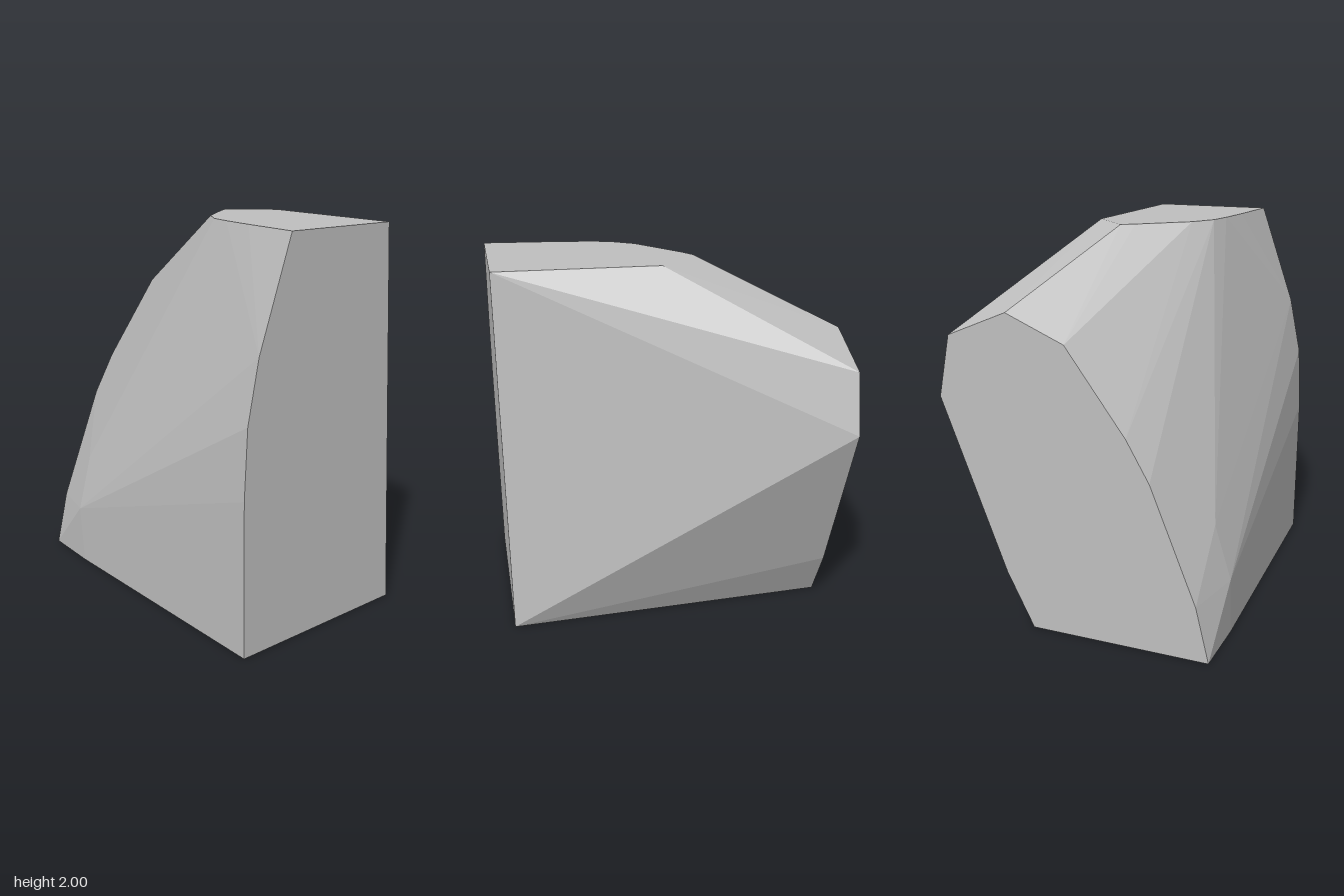
import * as THREE from 'three';
import { ConvexGeometry } from 'three/addons/geometries/ConvexGeometry.js';

export function createModel() {
  const model = new THREE.Group();
  model.name = 'stoneModel';
  const grey = new THREE.MeshStandardMaterial({ color: 0xc0c0c0 });
  grey.name = 'stone grey';

  // flat front face, outline as x, y
  const front = [[-0.725, 0], [0.28, 0], [0.185, 2], [-0.45, 2], [-0.64, 1.46], [-0.705, 1.15], [-0.725, 0.8]];
  // flat back face, outline as x, y
  const back = [[-0.71, 0], [-0.64, 0.29], [-0.4, 0.89], [-0.28, 1.1], [0.03, 1.525], [0.335, 1.655],
    [0.655, 1.52], [0.72, 1.2], [0.38, 0.29], [0.236, 0]];
  // rear rim of the flat top, as x, z
  const top = [[-0.41, 0.54], [-0.38, 0.34], [-0.35, 0.21], [-0.27, 0.08], [-0.03, -0.125], [0.035, -0.17], [0.23, 0.03]];
  // rounded rear corner of the right side, as x, y, z
  const corner = [[-0.725, 0, -0.55], [-0.725, 0.31, -0.58], [-0.64, 0.6, -0.59]];

  const points = [
    ...front.map(([x, y]) => new THREE.Vector3(x, y, 0.88)),
    ...back.map(([x, y]) => new THREE.Vector3(x, y, -0.88)),
    ...top.map(([x, z]) => new THREE.Vector3(x, 2, z)),
    ...corner.map((p) => new THREE.Vector3(...p)),
  ];

  // faceted block spanned between the flat faces
  const block = new THREE.Mesh(new ConvexGeometry(points), grey);
  block.name = 'stoneBlock';
  model.add(block);
  return model;
}
